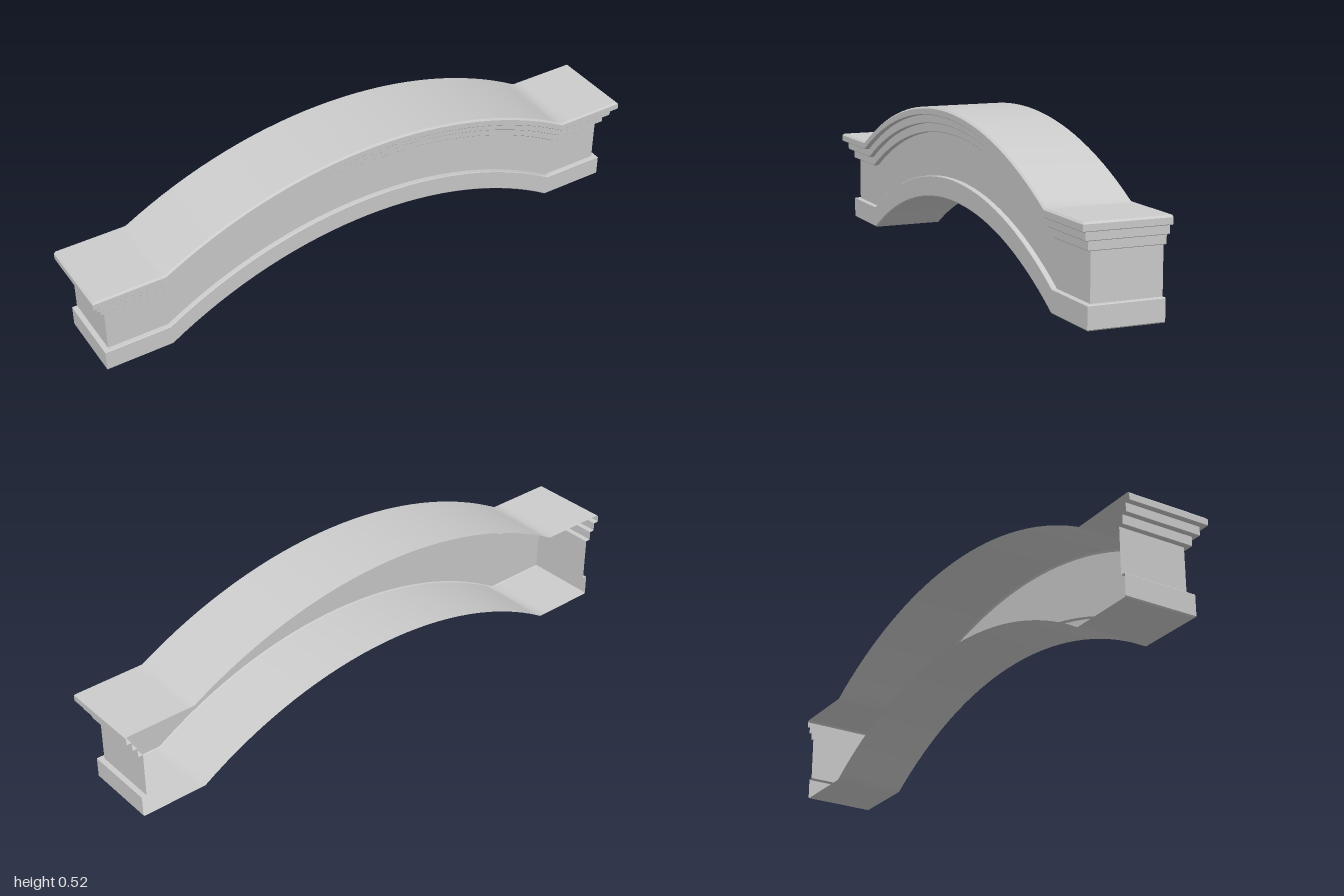
import * as THREE from 'three';
import { mergeGeometries, toCreasedNormals } from 'three/addons/utils/BufferGeometryUtils.js';

const HALF_X = 1, FRONT = 0.142, BACK = -0.142, HEIGHT = 0.318;
const ARC_STEPS = 32;

// Moulding profiles, top to bottom, as [inset from the outer face, height]
const CORNICE = [
  [0.006, 0.318], [0, 0.312], [0, 0.292], [0.002, 0.29],
  [0.018, 0.29], [0.018, 0.262], [0.02, 0.26],
  [0.035, 0.26], [0.035, 0.23], [0.037, 0.228], [0.052, 0.228],
];
const PANEL = [[0.052, 0.228], [0.052, 0.074]];
const PLINTH = [[0.052, 0.074], [0.037, 0.074], [0.035, 0.072], [0.035, 0.004], [0.039, 0]];

// One line along the front at a given inset and height: flat, arched, flat
function frontLine([inset, h]) {
  const t = h / HEIGHT;
  const kink = 0.735 + 0.02 * t;
  const sag = 0.213 - 0.011 * t;
  const radius = (kink * kink + sag * sag) / (2 * sag);
  const sweep = Math.asin(kink / radius);
  const end = HALF_X - inset, z = FRONT - inset;
  const points = [[-end, h, z], [-kink - 0.03, h, z]];
  for (let i = 0; i <= ARC_STEPS; i++) {
    const a = sweep * (2 * i / ARC_STEPS - 1);
    points.push([radius * Math.sin(a), h + sag - radius * (1 - Math.cos(a)), z]);
  }
  points.push([kink + 0.03, h, z], [end, h, z]);
  return points;
}

// The same line moved to the back edge
const backLine = (p) => frontLine(p).map(([x, y]) => [x, y, BACK]);

// The front line with returns along both ends to the back
function wrapLine(p) {
  const line = frontLine(p), end = HALF_X - p[0];
  return [[-end, p[1], BACK], ...line, [end, p[1], BACK]];
}

// Skin between successive rows of points
function skin(rows) {
  const n = rows[0].length, index = [];
  for (let r = 0; r < rows.length - 1; r++) {
    for (let c = 0; c < n - 1; c++) {
      const a = r * n + c, b = a + n;
      index.push(a, b, a + 1, b, b + 1, a + 1);
    }
  }
  const g = new THREE.BufferGeometry();
  g.setAttribute('position', new THREE.Float32BufferAttribute(rows.flat(2), 3));
  g.setIndex(index);
  return g;
}

export function createModel() {
  const group = new THREE.Group();
  const material = new THREE.MeshStandardMaterial({ color: 0xcccccc, side: THREE.DoubleSide });
  const add = (name, ...parts) => {
    const mesh = new THREE.Mesh(toCreasedNormals(mergeGeometries(parts), 0.7), material);
    mesh.name = name;
    group.add(mesh);
  };

  // Stepped cornice with its top surface
  const top = CORNICE[0];
  add('cornice', skin(CORNICE.map(wrapLine)), skin([backLine(top), frontLine(top)]));

  // Recessed plain band
  add('panel', skin(PANEL.map(wrapLine)));

  // Lower band with the arched underside; the back stays open
  const bottom = PLINTH[PLINTH.length - 1];
  add('lowerBand', skin(PLINTH.map(wrapLine)), skin([frontLine(bottom), backLine(bottom)]));

  return group;
}
